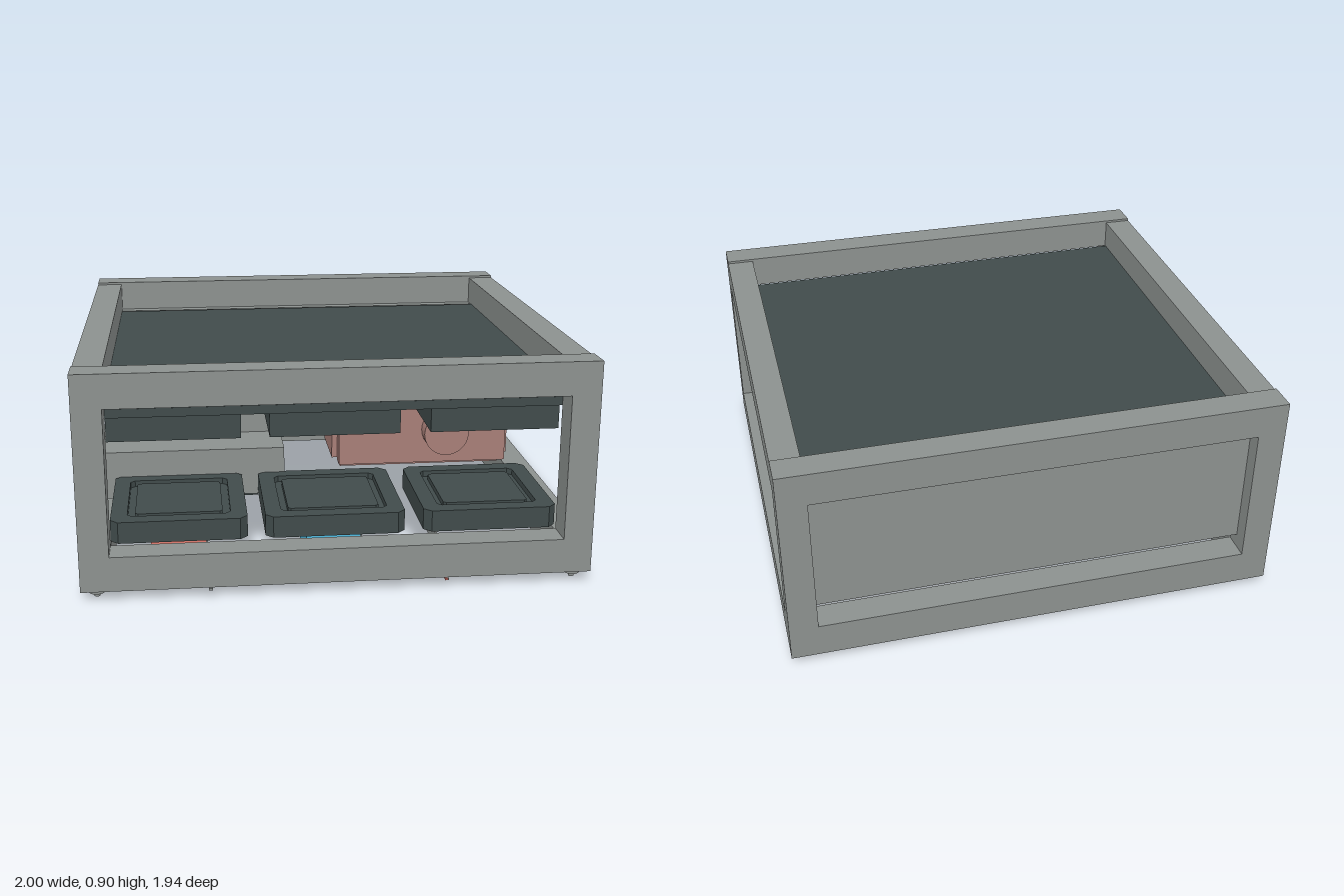
import * as THREE from 'three';

const mat = (name, hex) => {
  const m = new THREE.MeshStandardMaterial({ color: hex });
  m.name = name;
  return m;
};

export function createModel() {
  const root = new THREE.Group();
  root.name = 'equipmentFrame';
  const grey = mat('frame grey', 0x8c918f);
  const dark = mat('dark slate', 0x404b4b);
  const rose = mat('dusty rose', 0xa87f78);
  const red = mat('coral red', 0xe07c70);
  const cyan = mat('bright cyan', 0x52bce2);

  const add = (name, geo, m, parent = root) => {
    const mesh = new THREE.Mesh(geo, m);
    mesh.name = name;
    parent.add(mesh);
    return mesh;
  };
  // Box given by its limits on each axis
  const box = (name, m, x0, x1, y0, y1, z0, z1, parent = root) => {
    const mesh = add(name, new THREE.BoxGeometry(x1 - x0, y1 - y0, z1 - z0), m, parent);
    mesh.position.set((x0 + x1) / 2, (y0 + y1) / 2, (z0 + z1) / 2);
    return mesh;
  };
  const cyl = (name, m, r, h, x, y, z, parent = root) => {
    const mesh = add(name, new THREE.CylinderGeometry(r, r, h, 28), m, parent);
    mesh.position.set(x, y, z);
    return mesh;
  };
  // Square outline with cut corners
  const cutSquare = (target, hw, hd, c) => {
    const pts = [[-hw + c, -hd], [hw - c, -hd], [hw, -hd + c], [hw, hd - c],
      [hw - c, hd], [-hw + c, hd], [-hw, hd - c], [-hw, -hd + c]];
    target.setFromPoints(pts.map(([x, y]) => new THREE.Vector2(x, y)));
    return target;
  };
  const slab = (name, m, hw, hd, c, y0, y1, parent, hole) => {
    const shape = cutSquare(new THREE.Shape(), hw, hd, c);
    if (hole) shape.holes.push(cutSquare(new THREE.Path(), hw - hole, hd - hole, c * 0.6));
    const g = new THREE.ExtrudeGeometry(shape, { depth: y1 - y0, bevelEnabled: false });
    g.rotateX(-Math.PI / 2);
    const mesh = add(name, g, m, parent);
    mesh.position.y = y0;
    return mesh;
  };

  // Outer frame: posts, cross beams, side beams and feet
  const frame = new THREE.Group();
  frame.name = 'frame';
  root.add(frame);
  for (const [z0, z1] of [[-0.97, -0.85], [0.84, 0.96]]) {
    box('upperCrossBeam', grey, -1, 1, 0.765, 0.9, z0, z1, frame);
    box('lowerCrossBeam', grey, -1, 1, 0.04, 0.18, z0, z1, frame);
    for (const s of [-1, 1]) {
      const x0 = s > 0 ? 0.885 : -1;
      box('post', grey, x0, x0 + 0.115, 0.18, 0.765, z0, z1, frame);
      const zc = z0 < 0 ? -0.9 : 0.9;
      cyl('footDisc', grey, 0.032, 0.012, s * 0.94, 0.024, zc, frame);
      cyl('footStem', grey, 0.011, 0.042, s * 0.94, 0.021, zc, frame);
    }
  }
  for (const x0 of [-1, 0.885]) {
    box('upperSideBeam', grey, x0, x0 + 0.115, 0.765, 0.89, -0.85, 0.84, frame);
    box('lowerSideBeam', grey, x0, x0 + 0.115, 0.04, 0.17, -0.85, 0.84, frame);
  }
  box('frontTab', grey, -0.51, -0.495, 0.032, 0.04, 0.84, 0.97, frame);
  box('frontTabRed', red, 0.413, 0.423, 0.032, 0.04, 0.84, 0.97, frame);
  box('frontTabCover', grey, 0.423, 0.428, 0.032, 0.04, 0.84, 0.97, frame);
  box('sideTab', grey, -0.96, -0.93, 0.032, 0.04, -0.62, -0.5, frame);
  box('frontPlate', grey, -0.73, -0.51, 0.034, 0.04, 0.87, 0.9, frame);

  // Top panel, its stiffener and the back panel
  box('topPanel', dark, -0.885, 0.885, 0.73, 0.767, -0.778, 0.832);
  box('panelStiffener', dark, -0.885, 0.885, 0.695, 0.73, 0.21, 0.84);
  box('backPanel', grey, -0.885, 0.885, 0.235, 0.765, -0.905, -0.8);

  // Upper bays hang from the panel, lower trays face them
  for (const [x0, x1] of [[-0.885, -0.37], [-0.26, 0.25], [0.37, 0.88]]) {
    box('upperBay', dark, x0, x1, 0.595, 0.695, 0.32, 0.82);
  }
  for (const [x0, x1] of [[-0.885, -0.35], [-0.28, 0.275], [0.35, 0.885]]) {
    const tray = new THREE.Group();
    tray.name = 'tray';
    tray.position.set((x0 + x1) / 2, 0, 0.572);
    root.add(tray);
    const hw = (x1 - x0) / 2;
    slab('trayRim', dark, hw, 0.272, 0.03, 0.188, 0.275, tray, 0.065);
    slab('trayFloor', dark, hw - 0.06, 0.212, 0.018, 0.215, 0.25, tray);
    slab('trayPad', dark, hw - 0.095, 0.177, 0.012, 0.25, 0.272, tray);
  }

  // Coloured modules under the trays
  for (const [x, m] of [[-0.62, red], [0, cyan]]) {
    const mod = new THREE.Group();
    mod.name = 'module';
    mod.position.x = x;
    root.add(mod);
    box('moduleBody', m, -0.112, 0.107, 0.028, 0.215, 0.385, 0.755, mod);
    box('moduleSidePlate', grey, 0.107, 0.113, 0.045, 0.175, 0.4, 0.745, mod);
    for (const z of [0.4, 0.74]) box('moduleLug', grey, -0.088, 0.088, 0.008, 0.028, z - 0.01, z + 0.01, mod);
    box('modulePad', grey, -0.035, 0.035, 0.008, 0.028, 0.55, 0.62, mod);
  }
  box('thirdModulePlate', grey, 0.42, 0.43, 0.07, 0.215, 0.45, 0.71);
  box('connectorArm', grey, 0.43, 0.64, 0.07, 0.08, 0.69, 0.71);
  box('connector', grey, 0.63, 0.75, 0.05, 0.08, 0.69, 0.77);
  box('connectorSlot', dark, 0.65, 0.73, 0.045, 0.05, 0.715, 0.745);

  // Control strip with round buttons underneath
  box('controlStrip', dark, -0.885, -0.28, 0.17, 0.18, 0.11, 0.3);
  for (let i = 0; i < 4; i++) cyl('button', red, 0.042, 0.02, -0.34 - i * 0.16, 0.165, 0.21);

  // Grey cabinet with edge strip, step box and bottom hatch
  box('cabinet', grey, -0.885, -0.175, 0.235, 0.76, -0.8, -0.08);
  box('cabinetStrip', grey, -0.9, -0.165, 0.222, 0.73, -0.08, 0.07);
  box('stepBox', grey, -0.96, -0.165, 0.18, 0.385, 0.07, 0.31);
  box('cabinetHatch', grey, -0.8, -0.25, 0.21, 0.235, -0.76, -0.1);
  box('hatchHandle', grey, -0.78, -0.54, 0.203, 0.21, -0.44, -0.37);
  box('hatchSlot', dark, -0.76, -0.56, 0.199, 0.203, -0.425, -0.385);
  box('hatchLatch', dark, -0.5, -0.47, 0.195, 0.212, -0.185, -0.155);

  // Rose blower housing with front outlet and bottom rails
  box('blowerFront', rose, 0.1, 0.86, 0.222, 0.73, 0.02, 0.09);
  box('blowerBody', rose, 0.075, 0.885, 0.235, 0.73, -0.27, 0.02);
  const outlet = cyl('blowerOutlet', rose, 0.1, 0.075, 0.575, 0.377, 0.127);
  outlet.rotation.x = Math.PI / 2;
  box('bottomRail', rose, 0.12, 0.86, 0.187, 0.215, -0.11, -0.02);
  box('bottomRailLip', rose, 0.12, 0.86, 0.172, 0.187, -0.09, -0.04);
  box('railBracket', rose, 0.14, 0.84, 0.215, 0.236, -0.11, -0.01);

  // Fan drum: a circle cut flat at front, back and top
  const outline = [];
  for (let i = 0; i < 28; i++) {
    const a = (i + 0.5) / 28 * Math.PI * 2;
    outline.push(new THREE.Vector2(
      THREE.MathUtils.clamp(Math.cos(a) * 0.288, -0.265, 0.265),
      Math.min(Math.sin(a) * 0.288 + 0.506, 0.764)));
  }
  const drumGeo = new THREE.ExtrudeGeometry(new THREE.Shape(outline), { depth: 0.68, bevelEnabled: false });
  drumGeo.rotateY(Math.PI / 2);
  add('fanDrum', drumGeo, dark).position.set(0.19, 0, -0.535);

  // Grille below the drum
  box('grillePlate', dark, 0.25, 0.82, 0.19, 0.22, -0.7, -0.38);
  for (let i = 0; i < 7; i++) {
    const x = 0.29 + i * 0.075;
    box('grilleBar', dark, x, x + 0.04, 0.18, 0.19, -0.62, -0.46);
  }
  return root;
}
